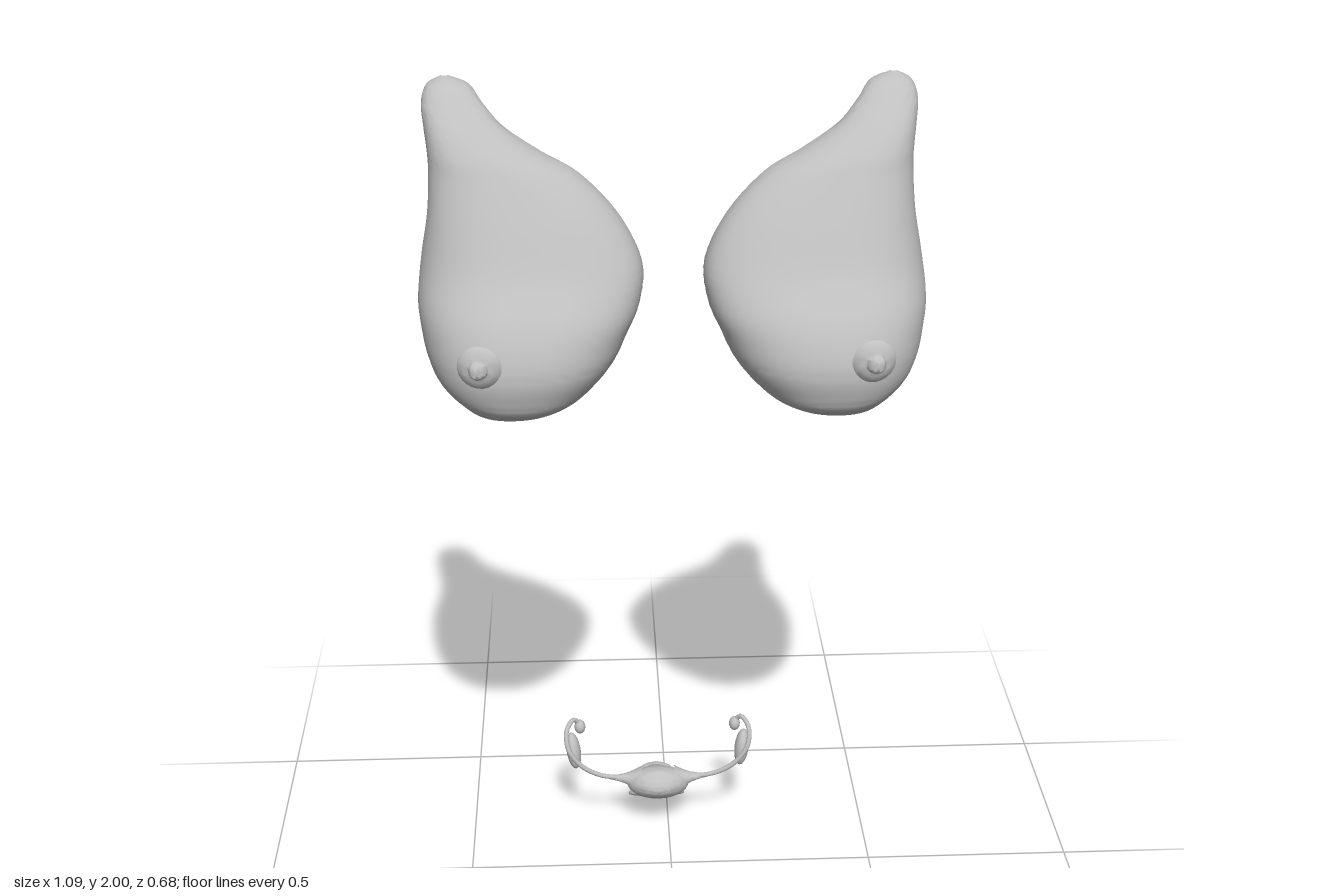
import * as THREE from 'three';
import { toCreasedNormals } from 'three/addons/utils/BufferGeometryUtils.js';

const grey = new THREE.MeshStandardMaterial({ color: 0xbfbfbf });
grey.name = 'plain grey';

function add(parent, name, geometry) {
  const mesh = new THREE.Mesh(geometry, grey);
  mesh.name = name;
  parent.add(mesh);
  return mesh;
}

// Smoothly resample a short table of section rows
function resample(rows, steps) {
  const spline = new THREE.CubicInterpolant(rows.map((_, i) => i), rows.flat(), rows[0].length);
  return Array.from({ length: steps + 1 }, (_, i) =>
    Array.from(spline.evaluate((i / steps) * (rows.length - 1))));
}

// Skin closed rings of points into one surface
function skin(rings, crease) {
  const n = rings[0].length, index = [];
  for (let i = 0; i < rings.length - 1; i++) {
    for (let j = 0; j < n; j++) {
      const k = (j + 1) % n, a = i * n + j, b = i * n + k;
      index.push(a, b, b + n, a, b + n, a + n);
    }
  }
  const g = new THREE.BufferGeometry().setFromPoints(rings.flat());
  g.setIndex(index);
  return toCreasedNormals(g, crease);
}

// Horizontal slices: a rounded wall curling round to a rim, with a hollow back between
function breastGeometry() {
  // y, inner x, outer x, z at inner and outer x, front z, back depth, rim inner and outer x, hollow
  const rows = [
    [1.317, 0.343, 0.352, 0.14, 0.14, 0.145, 0.005, 0.346, 0.349, 0],
    [1.333, 0.27, 0.425, 0.14, 0.14, 0.23, 0.08, 0.338, 0.357, 0],
    [1.365, 0.205, 0.466, 0.14, 0.13, 0.285, 0.13, 0.335, 0.385, 0],
    [1.405, 0.158, 0.506, 0.13, 0.11, 0.304, 0.14, 0.315, 0.415, 0.02],
    [1.45, 0.122, 0.527, 0.12, 0.09, 0.312, 0.135, 0.265, 0.435, 0.07],
    [1.5, 0.098, 0.538, 0.115, 0.075, 0.303, 0.13, 0.215, 0.45, 0.1],
    [1.56, 0.072, 0.544, 0.11, 0.06, 0.275, 0.125, 0.155, 0.465, 0.125],
    [1.64, 0.066, 0.535, 0.1, 0.035, 0.217, 0.11, 0.09, 0.475, 0.115],
    [1.735, 0.114, 0.518, 0.075, 0.03, 0.165, 0.07, 0.135, 0.477, 0.085],
    [1.815, 0.193, 0.513, 0.05, 0.01, 0.12, 0.05, 0.215, 0.482, 0.055],
    [1.857, 0.272, 0.514, 0.03, 0, 0.095, 0.045, 0.3, 0.487, 0.035],
    [1.905, 0.35, 0.52, 0.01, -0.02, 0.057, 0.045, 0.38, 0.492, 0.015],
    [1.95, 0.395, 0.524, -0.02, -0.04, 0.015, 0.04, 0.43, 0.49, 0],
    [1.983, 0.422, 0.512, -0.045, -0.055, -0.018, 0.03, 0.45, 0.485, 0],
    [2.0, 0.468, 0.48, -0.06, -0.06, -0.055, 0.005, 0.473, 0.476, 0],
  ];
  const wall = 44, back = 24;
  const rings = resample(rows, 70).map(([y, xi, xo, zi, zo, zf, depth, ri, ro, hollow]) => {
    const ring = [], mid = (xi + xo) / 2, half = (xo - xi) / 2;
    const power = (v, p) => Math.sign(v) * Math.abs(v) ** p;
    const angle = (u) => Math.acos(power(THREE.MathUtils.clamp(u, -1, 1), 1 / 0.85));
    const start = -angle((mid - ri) / half), end = Math.PI + angle((ro - mid) / half);
    for (let j = 0; j <= wall; j++) {
      const a = THREE.MathUtils.lerp(start, end, j / wall);
      const x = mid - half * power(Math.cos(a), 0.85), s = power(Math.sin(a), 0.85);
      const base = THREE.MathUtils.mapLinear(x, xi, xo, zi, zo);
      ring.push(new THREE.Vector3(x, y, base + s * (s > 0 ? zf - base : depth)));
    }
    const inner = ring[0], outer = ring[wall];
    for (let j = 1; j < back; j++) {
      const s = j / back, p = outer.clone().lerp(inner, s);
      p.z += hollow * (1 + 0.03 * Math.sin(s * 38 + y * 14)) * Math.sin(Math.PI * s) ** 0.7;
      ring.push(p);
    }
    return ring;
  });
  return skin(rings, 0.9);
}

// Oval sections along a path in the middle plane: z, y, half width, half height
function organGeometry(rows, steps) {
  const s = resample(rows, steps);
  const rings = s.map(([z, y, w, h], i) => {
    const p = s[Math.max(i - 1, 0)], q = s[Math.min(i + 1, steps)];
    const t = new THREE.Vector3(0, q[1] - p[1], q[0] - p[0]).normalize();
    const n = t.cross(new THREE.Vector3(1, 0, 0));
    return Array.from({ length: 28 }, (_, j) => {
      const a = (j / 28) * Math.PI * 2;
      return new THREE.Vector3(w * Math.cos(a), y, z).addScaledVector(n, h * Math.sin(a));
    });
  });
  return skin(rings, 1.2);
}

function createBreast(side) {
  const g = new THREE.Group();
  g.name = side > 0 ? 'leftBreast' : 'rightBreast';
  add(g, 'breastBody', breastGeometry());
  // Areola and nipple turned on one profile
  const profile = [[0.001, -0.015], [0.04, -0.015], [0.047, -0.002], [0.044, 0.004], [0.03, 0.011],
    [0.021, 0.014], [0.018, 0.024], [0.011, 0.032], [0.001, 0.034]]
    .map(([r, y]) => new THREE.Vector2(r, y));
  const nipple = add(g, 'nipple', toCreasedNormals(new THREE.LatheGeometry(profile, 24), 0.7));
  nipple.position.set(0.408, 1.485, 0.302);
  nipple.quaternion.setFromUnitVectors(new THREE.Vector3(0, 1, 0),
    new THREE.Vector3(0.14, 0, 1).normalize());
  g.scale.x = side;
  return g;
}

function createTube(side) {
  const g = new THREE.Group();
  g.name = side > 0 ? 'leftTubeAndOvary' : 'rightTubeAndOvary';
  const path = new THREE.CatmullRomCurve3([
    [0.05, 0.155, -0.155], [0.1, 0.16, -0.153], [0.15, 0.174, -0.147], [0.195, 0.206, -0.141],
    [0.227, 0.255, -0.143], [0.23, 0.298, -0.165], [0.212, 0.312, -0.192], [0.196, 0.29, -0.2],
  ].map((p) => new THREE.Vector3(...p)));
  add(g, 'tube', new THREE.TubeGeometry(path, 48, 0.006, 10));
  // Tapered root where the tube leaves the womb
  const horn = [[0.034, 0], [0.022, 0.02], [0.013, 0.04], [0.008, 0.06], [0.005, 0.08]]
    .map(([r, y]) => new THREE.Vector2(r, y));
  const root = add(g, 'tubeRoot', new THREE.LatheGeometry(horn, 16));
  root.position.set(0.045, 0.153, -0.154);
  root.rotation.z = -Math.PI / 2 + 0.1;
  // Flared end of the tube
  const flare = add(g, 'tubeEnd', new THREE.SphereGeometry(1, 14, 10));
  flare.scale.set(0.014, 0.018, 0.017);
  flare.position.set(0.197, 0.288, -0.197);
  const ovary = add(g, 'ovary', new THREE.SphereGeometry(1, 20, 14));
  ovary.scale.set(0.018, 0.048, 0.025);
  ovary.position.set(0.214, 0.236, -0.167);
  ovary.rotation.set(-0.2, 0, -0.12);
  g.scale.x = side;
  return g;
}

export function createModel() {
  const model = new THREE.Group();
  model.name = 'anatomyModel';
  const womb = new THREE.Group();
  womb.name = 'womb';
  womb.position.x = -0.027;
  add(womb, 'wombBody', organGeometry([
    [-0.106, 0.168, 0.001, 0.001], [-0.114, 0.163, 0.042, 0.026], [-0.138, 0.152, 0.073, 0.04],
    [-0.165, 0.136, 0.076, 0.042], [-0.195, 0.118, 0.05, 0.036], [-0.225, 0.1, 0.034, 0.032],
    [-0.26, 0.08, 0.032, 0.032], [-0.295, 0.062, 0.042, 0.034], [-0.318, 0.05, 0.042, 0.03],
    [-0.33, 0.043, 0.001, 0.001],
  ], 45));
  // Flattened canal flaring down to the base
  add(womb, 'canal', organGeometry([
    [-0.328, 0.09, 0.001, 0.001], [-0.324, 0.08, 0.036, 0.018], [-0.31, 0.056, 0.052, 0.029],
    [-0.29, 0.034, 0.063, 0.032], [-0.278, 0.02, 0.07, 0.028], [-0.274, 0.014, 0.001, 0.001],
  ], 25));
  for (const side of [1, -1]) {
    model.add(createBreast(side));
    womb.add(createTube(side));
  }
  model.add(womb);
  return model;
}
